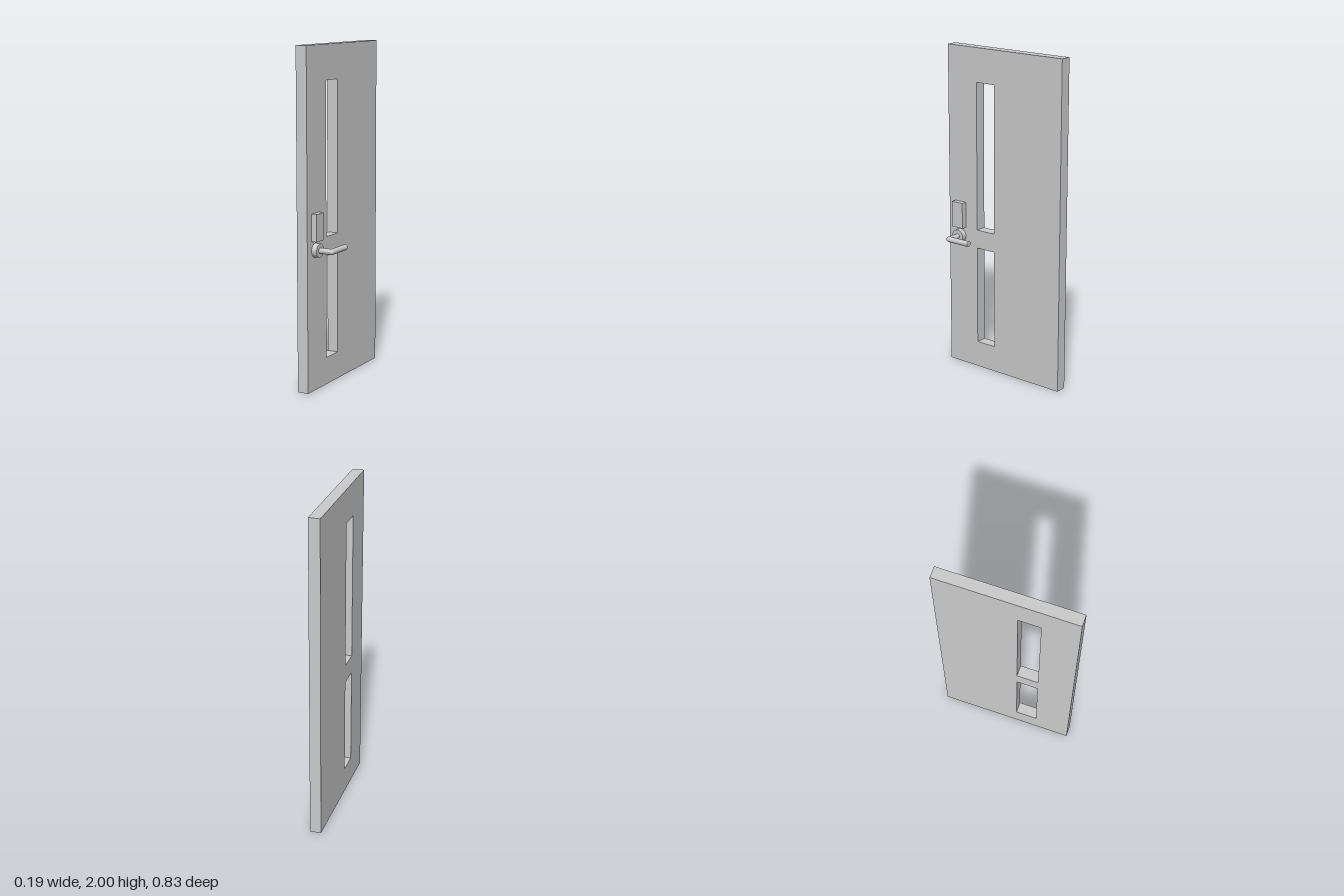
import * as THREE from 'three';

export function createModel() {
  const model = new THREE.Group();
  const material = new THREE.MeshStandardMaterial({ color: 0xcccccc });

  function add(name, geometry, x = 0, y = 0, z = 0, parent = model) {
    const mesh = new THREE.Mesh(geometry, material);
    mesh.name = name;
    mesh.position.set(x, y, z);
    parent.add(mesh);
    return mesh;
  }

  // Rectangle in the door plane, given by z and y limits
  function rect(Type, z0, z1, y0, y1) {
    return new Type([[-z1, y0], [-z0, y0], [-z0, y1], [-z1, y1]].map(([a, b]) => new THREE.Vector2(a, b)));
  }

  // Door leaf with two tall openings
  const leaf = rect(THREE.Shape, -0.417, 0.417, 0, 2);
  leaf.holes.push(rect(THREE.Path, 0.068, 0.2, 0.163, 0.775));
  leaf.holes.push(rect(THREE.Path, 0.068, 0.2, 0.89, 1.795));
  const leafGeometry = new THREE.ExtrudeGeometry(leaf, { depth: 0.068, bevelEnabled: false });
  leafGeometry.rotateY(Math.PI / 2);
  add('doorLeaf', leafGeometry, -0.099);

  // Lock plate above the handle
  add('lockPlate', new THREE.BoxGeometry(0.034, 0.16, 0.08), -0.0145, 0.969, 0.329);

  // Lever handle: rose, spindle, rounded elbow and grip
  const handle = new THREE.Group();
  handle.name = 'leverHandle';
  handle.position.set(0, 0.833, 0.329);
  model.add(handle);
  const r = 0.017, reach = 0.079;
  const rose = new THREE.CylinderGeometry(0.041, 0.041, 0.034, 40).rotateZ(Math.PI / 2);
  add('rose', rose, -0.0145, 0, 0, handle);
  const spindle = new THREE.CylinderGeometry(r, r, reach, 32).rotateZ(Math.PI / 2);
  add('spindle', spindle, reach / 2, 0, 0, handle);
  add('elbow', new THREE.SphereGeometry(r, 32, 20), reach, 0, 0, handle);
  const grip = new THREE.CylinderGeometry(r, r, 0.154, 32).rotateX(Math.PI / 2);
  add('grip', grip, reach, 0, -0.077, handle);

  return model;
}
